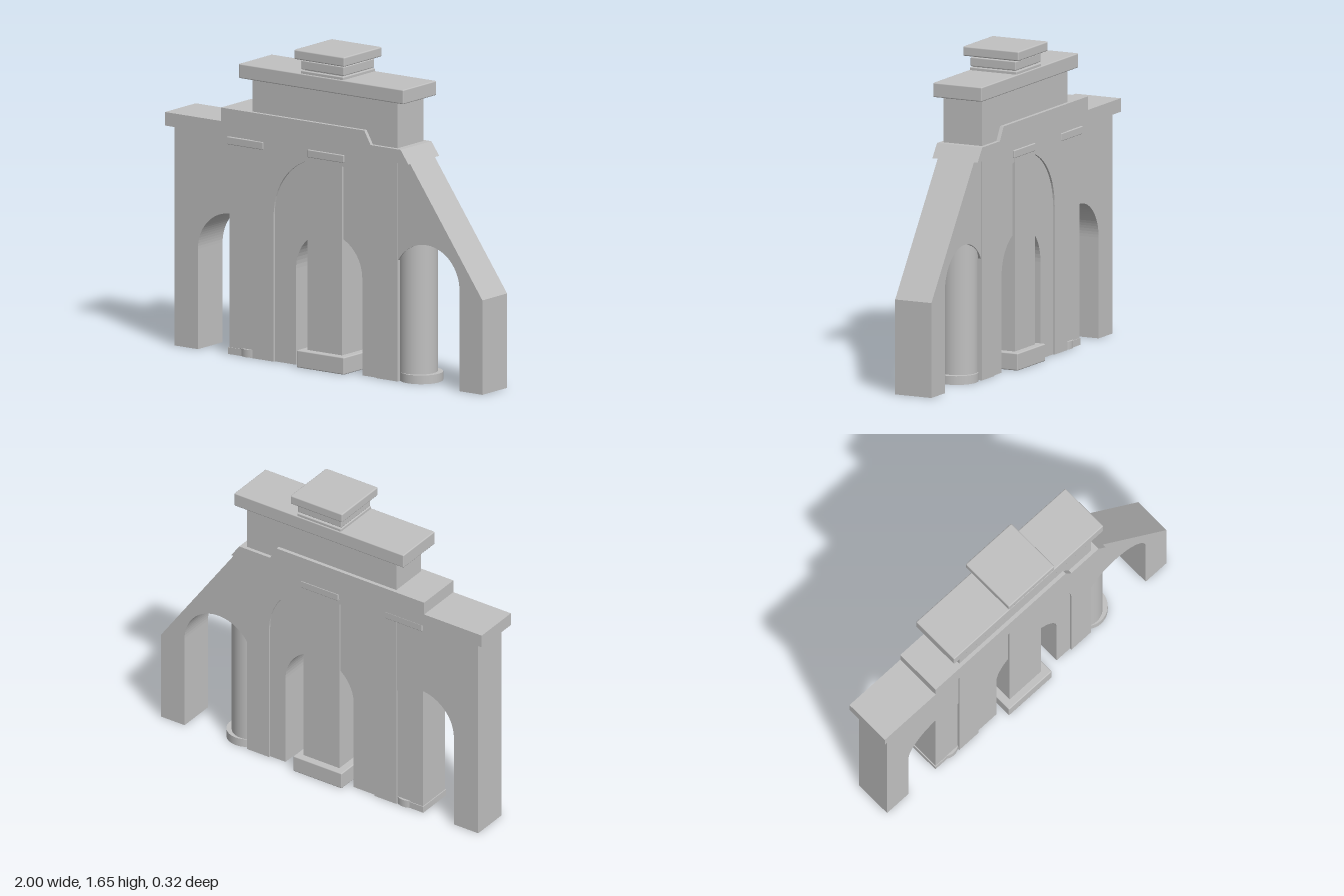
import * as THREE from 'three';
import { RoundedBoxGeometry } from 'three/addons/geometries/RoundedBoxGeometry.js';

const stone = new THREE.MeshStandardMaterial({ color: 0xc0c0c0 });
stone.name = 'grey stone';

export function createModel() {
  const group = new THREE.Group();

  const add = (name, geometry, x = 0, y = 0, z = 0) => {
    const mesh = new THREE.Mesh(geometry, stone);
    mesh.name = name;
    mesh.position.set(x, y, z);
    group.add(mesh);
    return mesh;
  };

  // block given by its x and y limits and half depth
  const block = (name, x0, x1, y0, y1, half, radius = 0) => {
    const size = [x1 - x0, y1 - y0, 2 * half];
    const geometry = radius ? new RoundedBoxGeometry(...size, 2, radius) : new THREE.BoxGeometry(...size);
    return add(name, geometry, (x0 + x1) / 2, (y0 + y1) / 2);
  };

  // front outline extruded between two depths
  const slab = (name, points, z0, z1) => {
    const shape = new THREE.Shape(points.map(([x, y]) => new THREE.Vector2(x, y)));
    return add(name, new THREE.ExtrudeGeometry(shape, { depth: z1 - z0, bevelEnabled: false }), 0, 0, z0);
  };

  // points along an arch, from angle a to angle b
  const arc = (cx, cy, r, a = Math.PI, b = 0, n = 32) =>
    Array.from({ length: n + 1 }, (_, i) => {
      const t = a + (b - a) * i / n;
      return [cx + r * Math.cos(t), cy + r * Math.sin(t)];
    });

  // rectangular wall with an arched doorway open at the bottom
  const archedWall = (cx, spring, r) => [
    [-0.46, 0], [cx - r, 0], ...arc(cx, spring, r), [cx + r, 0],
    [0.46, 0], [0.46, 1.14], [-0.46, 1.14],
  ];

  // central wall: core with the small archway, framed on both faces by the large arch
  slab('centralWall', archedWall(0.02, 0.5, 0.21), -0.1, 0.1);
  slab('frontArchFrame', archedWall(0, 0.765, 0.325), 0.1, 0.11);
  slab('backArchFrame', archedWall(0, 0.765, 0.325), -0.11, -0.1);

  // intact wing with half an arch
  slab('rightWing', [
    [-0.96, 0], [-0.81, 0], ...arc(-0.6, 0.52, 0.21, Math.PI, Math.acos(0.14 / 0.21)),
    [-0.46, 1.14], [-0.96, 1.14],
  ], -0.104, 0.104);

  // broken wing with a sloping top
  slab('leftWing', [
    [0.46, 1.14], ...arc(0.64, 0.52, 0.21, Math.PI - Math.acos(0.18 / 0.21), 0),
    [0.85, 0], [0.995, 0], [0.995, 0.49], [0.535, 1.14],
  ], -0.104, 0.104);

  // inner piers and their round bases
  block('rightPier', -0.615, -0.45, 0, 0.76, 0.098);
  const roundPart = (name, x, rx, rz, height) => {
    const mesh = add(name, new THREE.CylinderGeometry(1, 1, height, 40), x, height / 2);
    mesh.scale.set(rx, 1, rz);
  };
  roundPart('leftPier', 0.51, 0.1, 0.1, 0.74);
  roundPart('leftPierBase', 0.53, 0.11, 0.112, 0.045);
  roundPart('rightPierBase', -0.5, 0.09, 0.112, 0.04);
  block('rightPierPlinth', -0.62, -0.46, 0, 0.035, 0.102);

  // central column
  block('columnBase', -0.15, 0.15, 0, 0.09, 0.15, 0.006);
  block('columnShaft', -0.11, 0.11, 0.08, 1.1, 0.112);
  block('columnCapital', -0.105, 0.125, 1.09, 1.13, 0.118, 0.004);
  block('rightCapital', -0.62, -0.39, 1.09, 1.13, 0.115, 0.004);

  // stepped ledge above the arches
  slab('steppedLedge', [
    [-1, 1.14], [0.545, 1.14], [0.495, 1.21], [0.305, 1.21],
    [0.265, 1.28], [-0.645, 1.28], [-0.645, 1.21], [-1, 1.21],
  ], -0.13, 0.13);

  // attic, cornice and crowning block
  block('attic', -0.46, 0.46, 1.2, 1.46, 0.11);
  block('cornice', -0.525, 0.52, 1.45, 1.525, 0.14, 0.006);
  block('crownFoot', -0.135, 0.135, 1.515, 1.54, 0.135, 0.004);
  block('crownNeck', -0.12, 0.12, 1.53, 1.61, 0.12);
  block('crownBlock', -0.135, 0.135, 1.545, 1.592, 0.13, 0.005);
  block('crownCap', -0.16, 0.16, 1.6, 1.65, 0.16, 0.007);

  return group;
}
